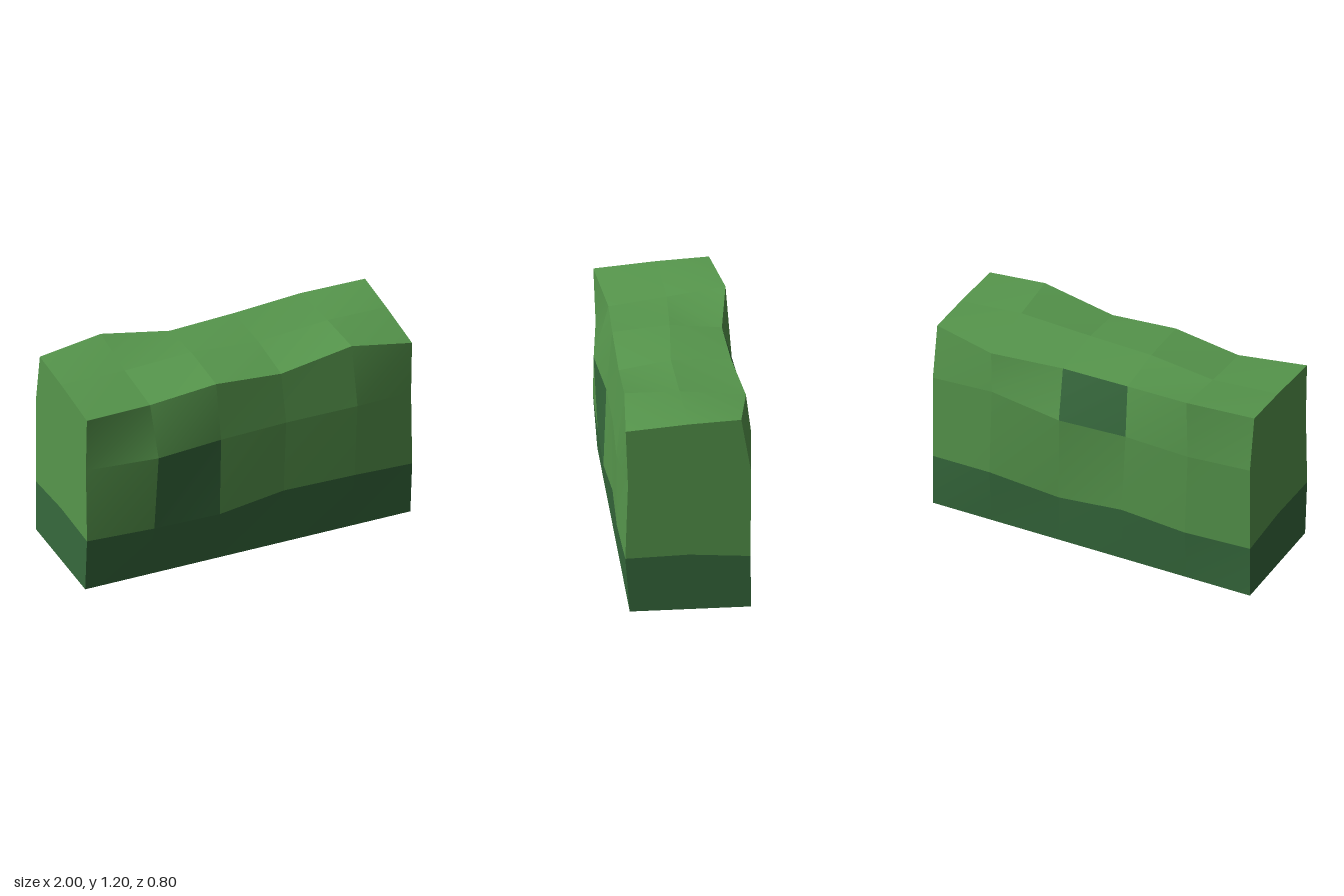
import * as THREE from 'three';

const leaf = new THREE.MeshStandardMaterial({ color: 0x56964c, side: THREE.DoubleSide });
leaf.name = 'leaf green';
const shade = new THREE.MeshStandardMaterial({ color: 0x36693c, side: THREE.DoubleSide });
shade.name = 'deep green';

const columns = [-1, -0.6, -0.2, 0.2, 0.63, 1];
const flat = [0, 0, 0, 0];

// A row along the hedge: height and depth at its ends, sideways shift of its inner
// points, and how far (in hundredths) those rise and move forward
function row(y, z, shift, rise, forward) {
  return columns.map((x, c) => {
    if (c === 0 || c === 5) return [x, y, z];
    return [x + shift, y + rise[c - 1] / 100, z + forward[c - 1] / 100];
  });
}

// Rows from the front foot over the top to the back foot
const rows = [
  row(0, 0.335, 0, flat, flat),
  row(0.335, 0.36, 0.01, [-1.5, -2, 2.5, 2.5], [1, 1.5, 0, 1.5]),
  row(0.8, 0.345, 0.025, [0, 0, 1, 2], [5, 1.5, 1.5, 3.5]),
  row(1.14, 0.358, 0.01, [-3, 1.5, -2, 5.7], [-4.8, -3.3, -3.3, -2.5]),
  row(1.17, 0, 0, [-2, 1, -0.5, 2], [-2, 0, 3, 2]),
  row(1.185, -0.295, 0, [1.5, -3.5, -3, -3.5], [-5.7, 0, -1.5, -6]),
  row(0.86, -0.35, -0.02, [-1, -1, 0, 5], [-2.5, -1, -5, -3.5]),
  row(0.32, -0.347, 0, [0, 2.5, -2, 2.5], [-2.5, -2, -1.5, -3]),
  row(0, -0.35, 0, flat, flat),
];

// Collects separate facets so that every one keeps its own flat normal
function facetMesh(name, material, facets) {
  const positions = [], index = [];
  for (const facet of facets) {
    const start = positions.length / 3;
    for (const p of facet) positions.push(...p);
    for (let i = 1; i < facet.length - 1; i++) index.push(start, start + i, start + i + 1);
  }
  const geometry = new THREE.BufferGeometry();
  geometry.setAttribute('position', new THREE.Float32BufferAttribute(positions, 3));
  geometry.setIndex(index);
  geometry.computeVertexNormals();
  const mesh = new THREE.Mesh(geometry, material);
  mesh.name = name;
  return mesh;
}

export function createModel() {
  const foliage = [], base = [], frontPatch = [], backPatch = [];

  // Front, top and back facets
  for (let r = 0; r < 8; r++) {
    for (let c = 0; c < 5; c++) {
      let target = r === 0 || r === 7 ? base : foliage;
      if (r === 1 && c === 1) target = frontPatch;
      if (r === 5 && c === 2) target = backPatch;
      target.push([rows[r][c], rows[r][c + 1], rows[r + 1][c + 1], rows[r + 1][c]]);
    }
  }

  // Flat ends, fanned out from the middle of the colour border
  for (const side of [-1, 1]) {
    const fan = (order) => {
      const ring = order.map((r) => rows[r][side > 0 ? 5 : 0]);
      if (side < 0) ring.reverse();
      return [[side, 0.345, 0], ...ring];
    };
    base.push(fan([1, 0, 8, 7]));
    foliage.push(fan([7, 6, 5, 4, 3, 2, 1]));
  }

  const group = new THREE.Group();
  group.name = 'hedge';
  group.add(
    facetMesh('foliage', leaf, foliage),
    facetMesh('base', shade, base),
    facetMesh('frontPatch', shade, frontPatch),
    facetMesh('backPatch', shade, backPatch),
  );
  return group;
}
